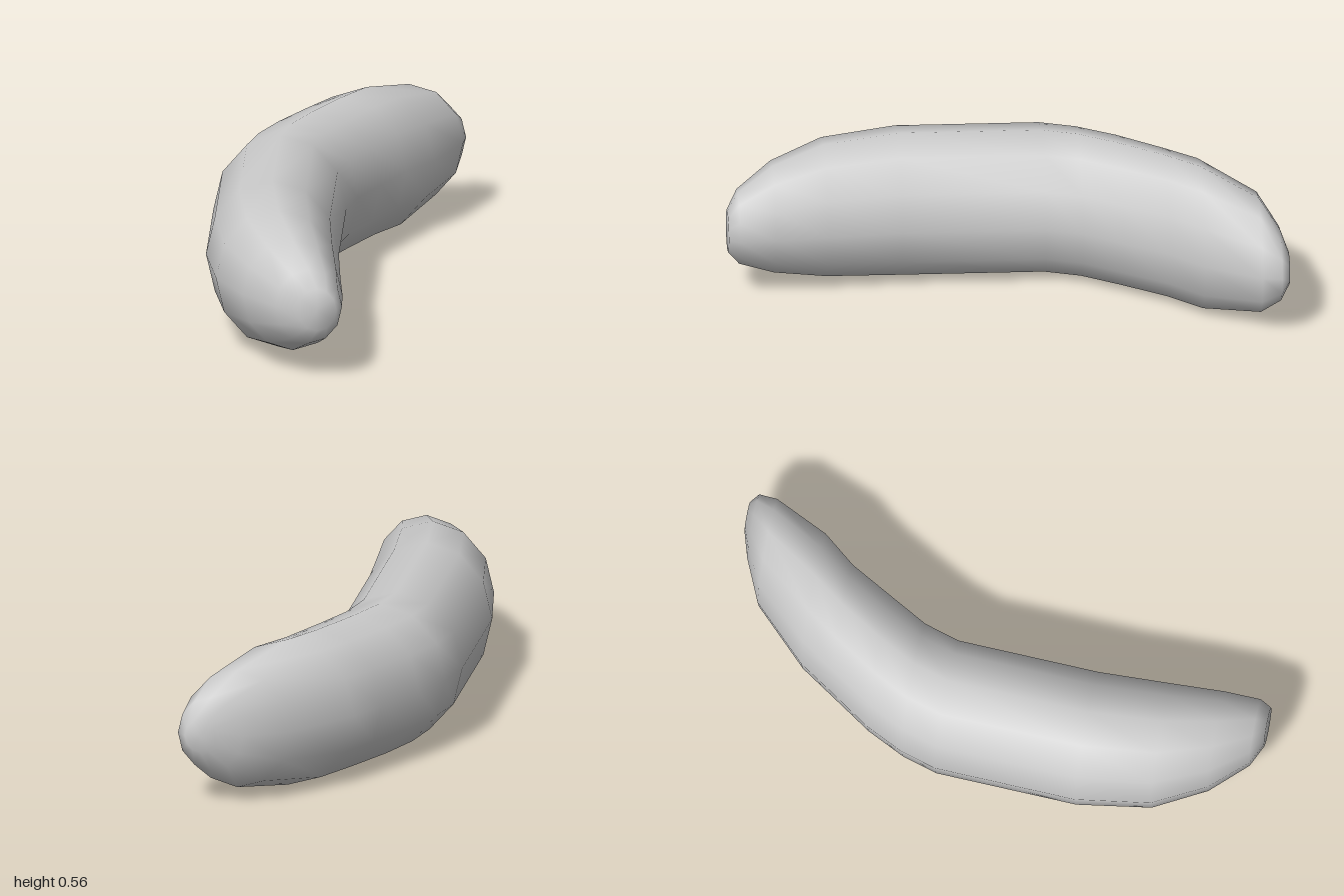
import * as THREE from 'three';

// Cross-sections from front to back: [z, right edge x, left edge x, half height]
const SECTIONS = [
  [1.0, -0.12, 0.02, 0.08],
  [0.96, -0.2, 0.04, 0.14],
  [0.83, -0.32, 0.04, 0.21],
  [0.64, -0.42, 0.03, 0.26],
  [0.37, -0.46, 0.02, 0.28],
  [-0.15, -0.44, 0.04, 0.28],
  [-0.28, -0.4, 0.08, 0.28],
  [-0.42, -0.33, 0.16, 0.28],
  [-0.58, -0.22, 0.25, 0.28],
  [-0.7, -0.14, 0.35, 0.28],
  [-0.9, 0.06, 0.45, 0.225],
  [-0.97, 0.22, 0.46, 0.14],
  [-1.0, 0.32, 0.43, 0.06],
];
const SIDES = 12;
const MID_Y = 0.28;

// Skins elliptical rings into one smooth closed body
function loftBody(sections) {
  const positions = [];
  const index = [];
  for (const [z, x0, x1, h] of sections) {
    for (let j = 0; j < SIDES; j++) {
      const a = (j / SIDES) * Math.PI * 2;
      positions.push((x0 + x1) / 2 + ((x1 - x0) / 2) * Math.cos(a), MID_Y + h * Math.sin(a), z);
    }
  }
  const last = sections.length - 1;
  for (let i = 0; i < last; i++) {
    for (let j = 0; j < SIDES; j++) {
      const k = (j + 1) % SIDES;
      const a = i * SIDES + j, b = i * SIDES + k;
      index.push(a, a + SIDES, b, b, a + SIDES, b + SIDES);
    }
  }
  // End caps share the ring vertices so the tips shade smoothly
  for (const i of [0, last]) {
    const [z, x0, x1] = sections[i];
    const centre = positions.length / 3;
    positions.push((x0 + x1) / 2, MID_Y, z);
    for (let j = 0; j < SIDES; j++) {
      const a = i * SIDES + j, b = i * SIDES + ((j + 1) % SIDES);
      if (i === 0) index.push(centre, a, b);
      else index.push(centre, b, a);
    }
  }
  const geometry = new THREE.BufferGeometry();
  geometry.setAttribute('position', new THREE.Float32BufferAttribute(positions, 3));
  geometry.setIndex(index);
  geometry.computeVertexNormals();
  return geometry;
}

export function createModel() {
  const group = new THREE.Group();
  const body = new THREE.Mesh(
    loftBody(SECTIONS),
    new THREE.MeshStandardMaterial({ color: 0xcccccc })
  );
  body.name = 'curvedBody';
  group.add(body);
  return group;
}
